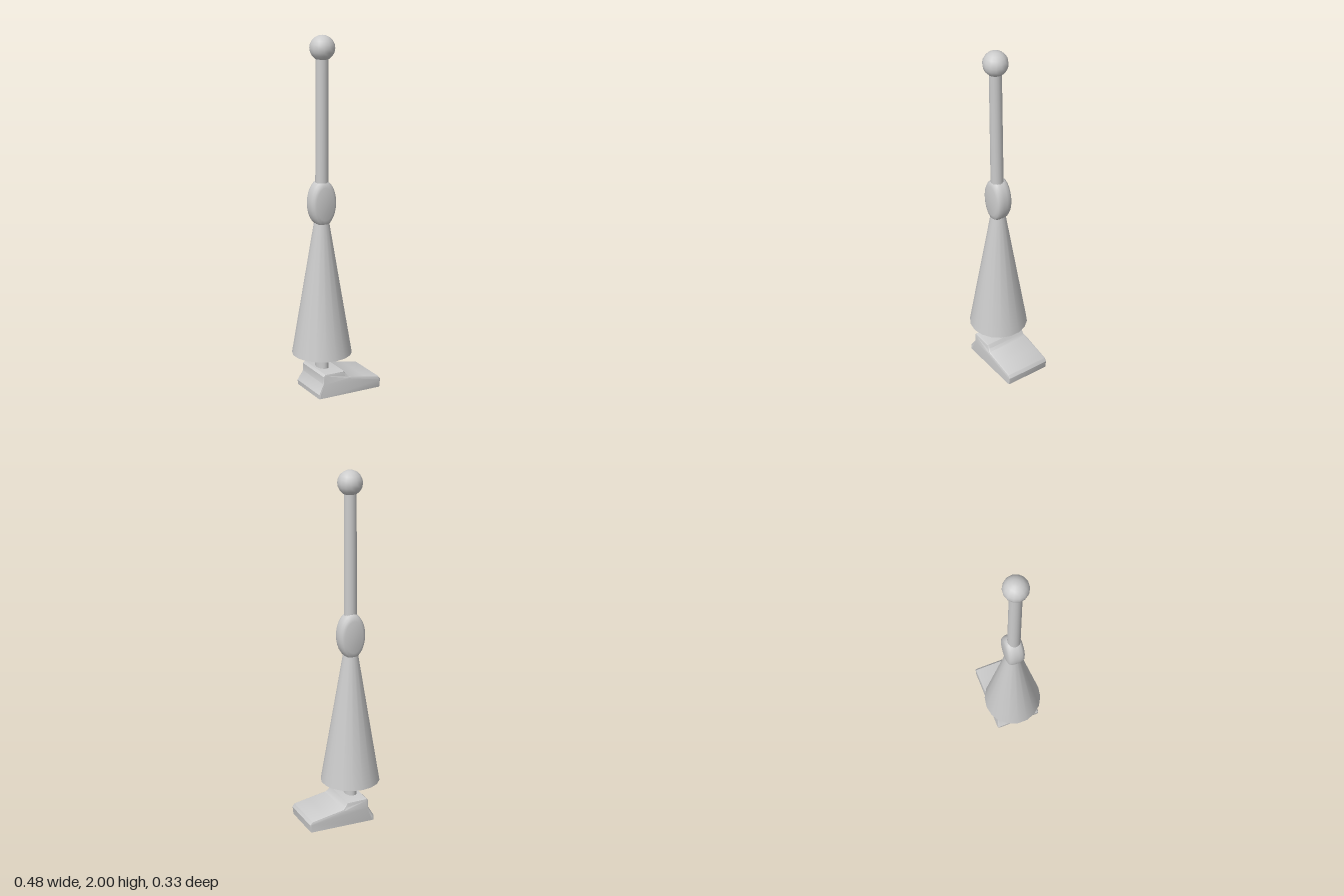
import * as THREE from 'three';
import { toCreasedNormals } from 'three/addons/utils/BufferGeometryUtils.js';

const AXIS_X = -0.075;
const TURN = 0.09; // the lower leg and foot are turned slightly outward

export function createModel() {
  const leg = new THREE.Group();
  leg.name = 'mechanicalLeg';
  const material = new THREE.MeshStandardMaterial({ color: 0xcccccc });

  const add = (name, geometry, x, y, z, turn = 0) => {
    const mesh = new THREE.Mesh(geometry, material);
    mesh.name = name;
    mesh.position.set(x, y, z);
    mesh.rotation.y = turn;
    leg.add(mesh);
    return mesh;
  };

  // Hip ball
  add('hipBall', new THREE.SphereGeometry(0.069, 14, 10), AXIS_X + 0.001, 1.931, 0.013);

  // Thigh rod, leaning slightly forward
  const thigh = add('thighRod', new THREE.CylinderGeometry(0.034, 0.036, 0.74, 16), AXIS_X, 1.53, 0.009);
  thigh.rotation.x = 0.011;

  // Knee: oval disc with a rounded rim, lathed around z
  const rim = [[0, -0.049], [0.7, -0.048], [0.88, -0.042], [0.97, -0.03], [1, -0.012],
    [1, 0.012], [0.97, 0.03], [0.88, 0.042], [0.7, 0.048], [0, 0.049]];
  const knee = new THREE.LatheGeometry(rim.map(([r, h]) => new THREE.Vector2(r, h)), 28);
  knee.rotateX(Math.PI / 2);
  knee.scale(0.077, 0.131, 1);
  add('knee', toCreasedNormals(knee, 0.7), AXIS_X, 1.085, 0, TURN);

  // Conical shin, closed below
  add('shinCone', new THREE.CylinderGeometry(0.042, 0.168, 0.755, 18), AXIS_X, 0.5975, 0, TURN);

  // Oval ankle post
  const ankle = new THREE.CylinderGeometry(0.034, 0.034, 0.16, 18);
  ankle.scale(1, 1, 1.5);
  add('anklePost', ankle, AXIS_X, 0.19, 0, TURN);

  // Foot: side profile with flared heel, step and sloping toe
  const profile = new THREE.Shape([
    [-0.09, 0], [0.3, 0], [0.305, 0.045], [0.292, 0.063], [0.2, 0.081], [0.1, 0.1],
    [0.085, 0.112], [0.072, 0.134], [-0.048, 0.136], [-0.06, 0.124], [-0.06, 0.08], [-0.092, 0.026],
  ].map(([x, y]) => new THREE.Vector2(x, y)));
  const bevel = 0.01;
  const width = 0.268;
  const foot = new THREE.ExtrudeGeometry(profile, {
    depth: width - 2 * bevel, bevelEnabled: true, bevelSize: bevel,
    bevelThickness: bevel, bevelOffset: -bevel, bevelSegments: 2,
  });
  foot.translate(0, 0, -width / 2 + bevel);
  // Keep the sole flat and draw the heel sides in above the flared base
  const p = foot.attributes.position;
  for (let i = 0; i < p.count; i++) {
    const y = p.getY(i);
    if (y < 0.013) p.setY(i, 0);
    if (p.getX(i) < 0.09) {
      const pinch = 0.06 * THREE.MathUtils.smoothstep(y, 0.03, 0.08);
      p.setZ(i, p.getZ(i) * (1 - pinch));
    }
  }
  add('foot', toCreasedNormals(foot, 0.6), AXIS_X, 0, 0.004, TURN);

  return leg;
}
